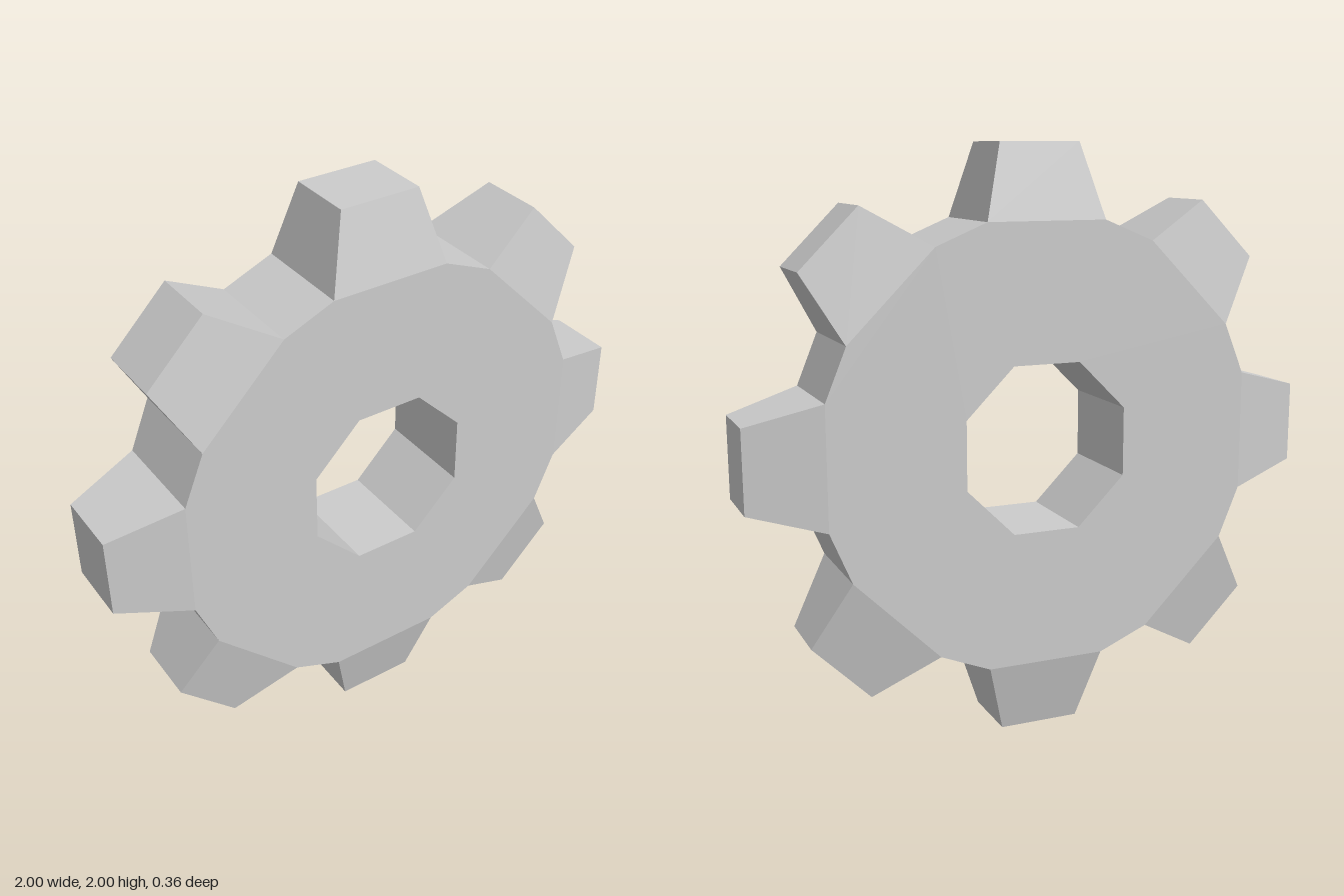
import * as THREE from 'three';

const TEETH = 8;
const BASE_R = 0.75, TIP_R = 1.0;      // centre distance of tooth root and tip
const BASE_W = 0.208, TIP_W = 0.14;    // half widths of tooth
const BASE_D = 0.18, TIP_D = 0.117;    // half depths of tooth
const HOLE_R = 0.285 / Math.cos(Math.PI / 8);

const material = new THREE.MeshStandardMaterial({ color: 0xcccccc, flatShading: true });

// Flat wheel: one edge under each tooth, one between teeth, octagonal bore
function wheelGeometry() {
  const r = Math.hypot(BASE_R, BASE_W), half = Math.atan2(BASE_W, BASE_R);
  const outline = [], bore = [];
  const polar = (rad, a) => new THREE.Vector2(rad * Math.cos(a), rad * Math.sin(a));
  for (let i = 0; i < TEETH; i++) {
    const a = (i / TEETH) * Math.PI * 2;
    outline.push(polar(r, a - half), polar(r, a + half));
    bore.push(polar(HOLE_R, a + Math.PI / 8));
  }
  const shape = new THREE.Shape(outline);
  shape.holes.push(new THREE.Path(bore.reverse()));
  const geo = new THREE.ExtrudeGeometry(shape, { depth: BASE_D * 2, bevelEnabled: false });
  return geo.translate(0, 0, -BASE_D);
}

// Tooth: a box narrowed in width and depth towards its tip
function toothGeometry() {
  const geo = new THREE.BoxGeometry(BASE_W * 2, TIP_R - BASE_R, BASE_D * 2);
  const p = geo.attributes.position;
  for (let i = 0; i < p.count; i++) {
    if (p.getY(i) > 0) {
      p.setX(i, Math.sign(p.getX(i)) * TIP_W);
      p.setZ(i, Math.sign(p.getZ(i)) * TIP_D);
    }
  }
  geo.translate(0, (BASE_R + TIP_R) / 2, 0);
  geo.computeVertexNormals();
  return geo;
}

export function createModel() {
  const gear = new THREE.Group();
  gear.name = 'gear';

  const wheel = new THREE.Mesh(wheelGeometry(), material);
  wheel.name = 'wheel';
  gear.add(wheel);

  const toothGeo = toothGeometry();
  for (let i = 0; i < TEETH; i++) {
    const tooth = new THREE.Mesh(toothGeo, material);
    tooth.name = `tooth${i + 1}`;
    tooth.rotation.z = (i / TEETH) * Math.PI * 2;
    gear.add(tooth);
  }

  gear.position.y = TIP_R;
  const model = new THREE.Group();
  model.name = 'gearModel';
  model.add(gear);
  return model;
}
